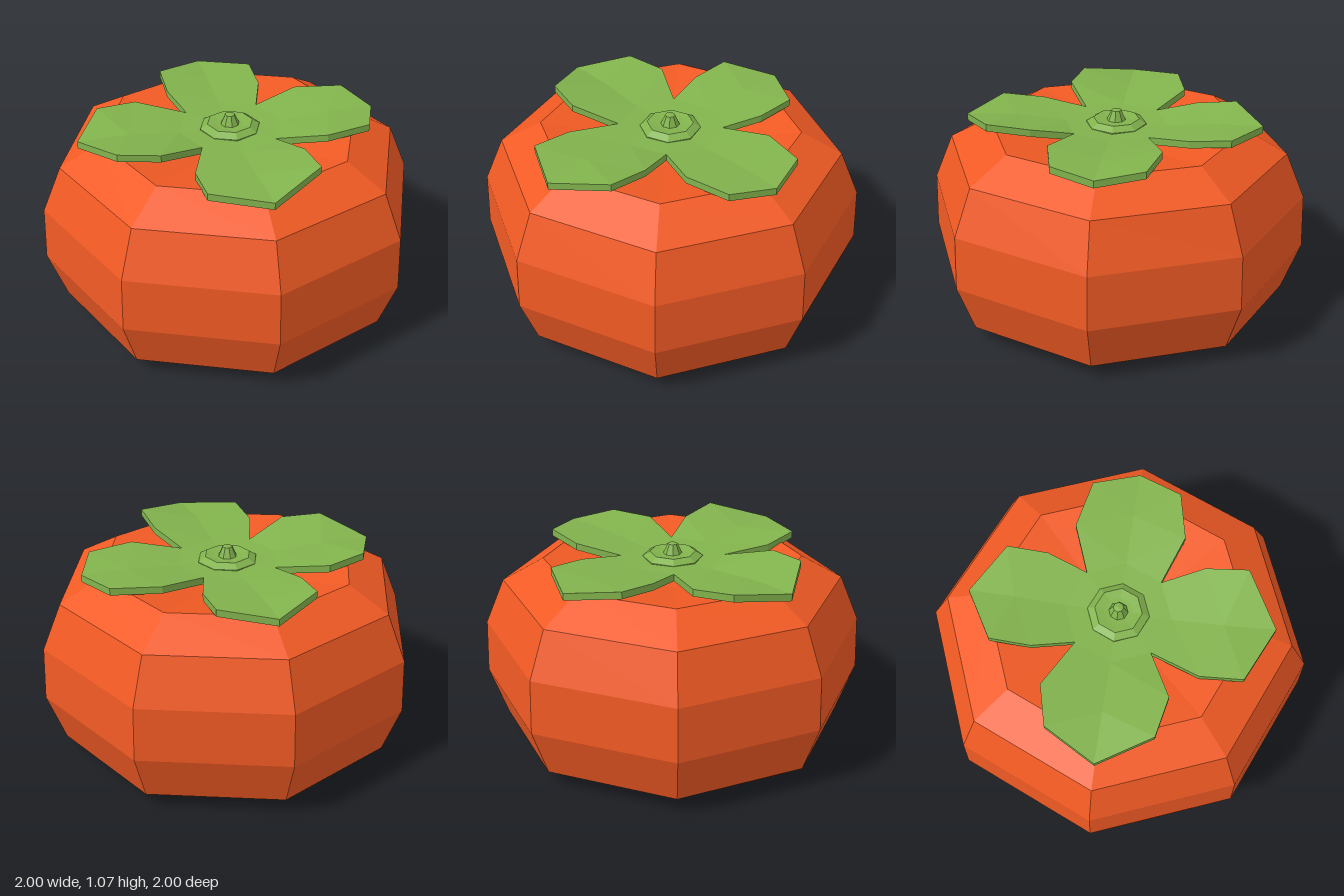
import * as THREE from 'three';

const orange = new THREE.MeshStandardMaterial({ color: 0xf15a24, flatShading: true });
const green = new THREE.MeshStandardMaterial({ color: 0x82b34d, flatShading: true });

function lathe(name, profile, material) {
  const points = profile.map(([r, y]) => new THREE.Vector2(r, y));
  const mesh = new THREE.Mesh(new THREE.LatheGeometry(points, 8), material);
  mesh.name = name;
  return mesh;
}

// One sepal pointing along +z: a folded sheet with thickness.
// rim = five [across, height, outward] points from left to right around the tip.
function sepalGeometry(rim, thickness = 0.037) {
  const [L1, L2, T, R2, R1] = rim;
  const C = [0, 0.99, 0], I = [0, 0.995, 0.27], M = [0, 1.015, 0.53];
  const nL = [-0.19, 1.0, 0.19], nR = [0.19, 1.0, 0.19];
  const top = [
    [C, I, nR], [C, nL, I],
    [I, M, R1], [I, R1, nR], [I, L1, M], [I, nL, L1],
    [M, T, R2], [M, R2, R1], [M, L2, T], [M, L1, L2],
  ];
  const low = ([x, y, z]) => [x, y - thickness, z];
  const tris = [];
  for (const [a, b, c] of top) tris.push([a, b, c], [low(a), low(c), low(b)]);
  const edge = [nL, L1, L2, T, R2, R1, nR];
  for (let i = 0; i < edge.length - 1; i++) {
    const p = edge[i], q = edge[i + 1];
    tris.push([low(p), low(q), q], [low(p), q, p]);
  }
  const geo = new THREE.BufferGeometry();
  geo.setAttribute('position', new THREE.Float32BufferAttribute(tris.flat(2), 3));
  geo.computeVertexNormals();
  return geo;
}

export function createModel() {
  const model = new THREE.Group();
  model.name = 'persimmon';

  // Squat eight-sided fruit, dented above and below
  model.add(lathe('fruit', [
    [0, 0.03], [0.55, 0], [0.905, 0.085], [1, 0.345], [0.99, 0.63],
    [0.89, 0.87], [0.675, 0.99], [0.27, 0.93], [0, 0.92],
  ], orange));

  // Four uneven sepals around the stem
  const calyx = new THREE.Group();
  calyx.name = 'calyx';
  const sepals = [
    ['frontSepal', 0, [[-0.28, 1.01, 0.44], [-0.27, 1.025, 0.66], [0.02, 1.01, 0.79], [0.295, 1.068, 0.62], [0.28, 1.045, 0.4]]],
    ['leftSepal', 1, [[-0.28, 1.035, 0.44], [-0.225, 1.035, 0.68], [0, 1.015, 0.77], [0.235, 1.035, 0.68], [0.285, 1.03, 0.43]]],
    ['backSepal', 2, [[-0.26, 1.02, 0.4], [-0.26, 1.035, 0.61], [0, 1.015, 0.76], [0.25, 1.05, 0.61], [0.25, 1.03, 0.4]]],
    ['rightSepal', 3, [[-0.32, 1.03, 0.44], [-0.265, 1.045, 0.65], [0, 1.01, 0.79], [0.27, 1.062, 0.63], [0.31, 1.052, 0.42]]],
  ];
  for (const [name, quarter, rim] of sepals) {
    const sepal = new THREE.Mesh(sepalGeometry(rim), green);
    sepal.name = name;
    sepal.rotation.y = quarter * Math.PI / 2;
    calyx.add(sepal);
  }
  model.add(calyx);

  // Low collar with a short tapered stub
  model.add(lathe('stemCollar', [[0.16, 0.97], [0.157, 0.998], [0.12, 1.022], [0.075, 1.015], [0, 1.01]], green));
  model.add(lathe('stem', [[0.055, 1.0], [0.045, 1.022], [0.026, 1.065], [0, 1.07]], green));

  return model;
}
